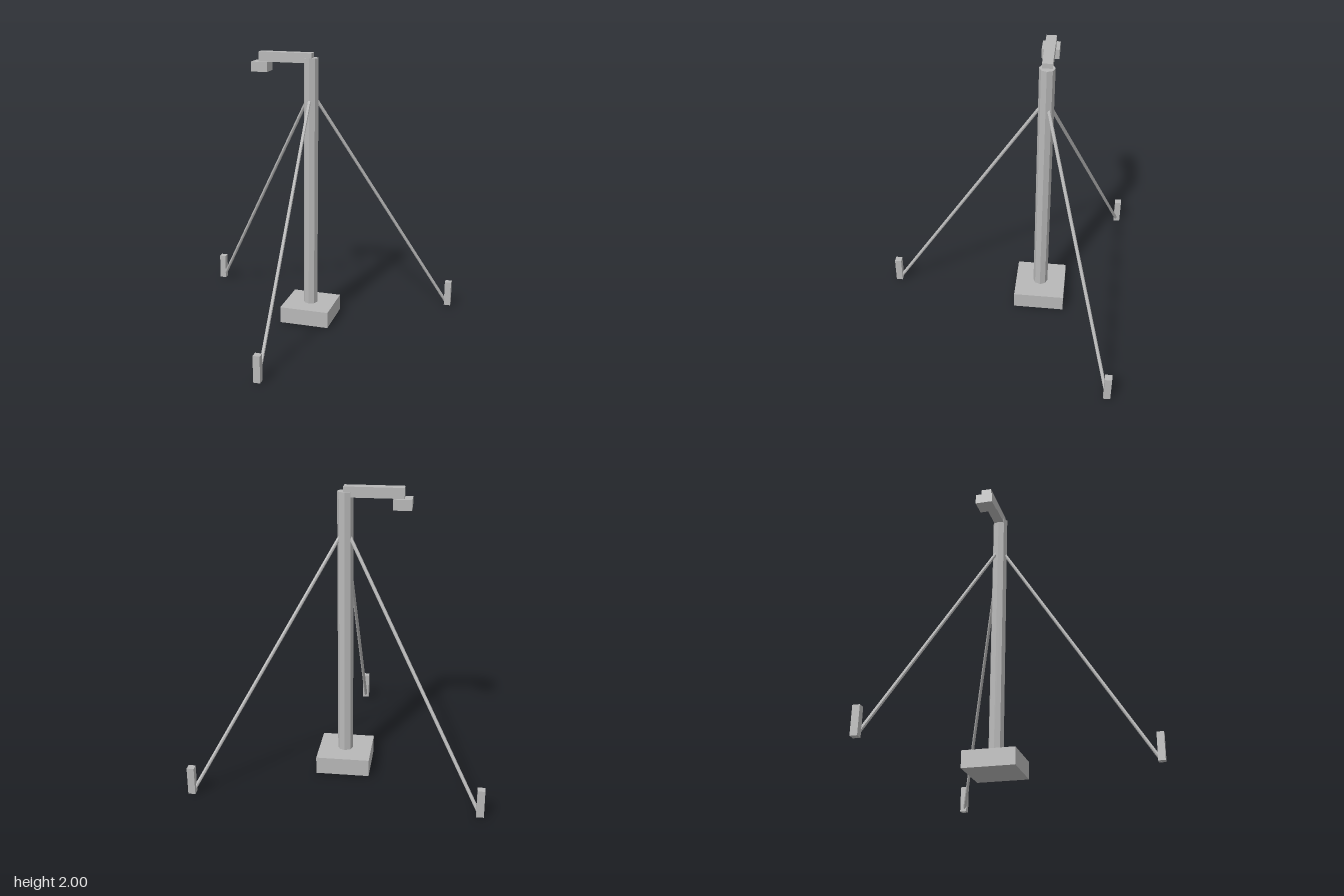
import * as THREE from 'three';

export function createModel() {
  const model = new THREE.Group();
  const grey = new THREE.MeshStandardMaterial({ color: 0xb8b8b8, flatShading: true });
  grey.name = 'grey';
  const PX = -0.015, PZ = -0.265; // mast axis

  const add = (name, geometry, x, y, z) => {
    const mesh = new THREE.Mesh(geometry, grey);
    mesh.name = name;
    mesh.position.set(x, y, z);
    model.add(mesh);
    return mesh;
  };

  // Foundation block, eight-sided mast, overhanging arm and its head
  add('base', new THREE.BoxGeometry(0.365, 0.12, 0.365), PX, 0.07, PZ);
  add('mast', new THREE.CylinderGeometry(0.053, 0.053, 1.835, 8), PX, 1.0475, PZ);
  add('arm', new THREE.BoxGeometry(0.39, 0.07, 0.07), -0.2, 1.965, PZ);
  add('armHead', new THREE.BoxGeometry(0.12, 0.07, 0.12), -0.385, 1.895, PZ);

  // Three ground anchors, each with a guy rod running up into the mast
  const top = new THREE.Vector3(PX, 1.73, PZ);
  const up = new THREE.Vector3(0, 1, 0);
  for (const [x, z] of [[-0.955, -0.84], [0.95, -0.795], [-0.045, 0.835]]) {
    add('anchor', new THREE.BoxGeometry(0.048, 0.19, 0.048), x, 0.105, z);
    const foot = new THREE.Vector3(x, 0.01, z);
    const span = top.clone().sub(foot);
    const mid = foot.clone().add(top).multiplyScalar(0.5);
    const rod = add('guyRod', new THREE.CylinderGeometry(0.012, 0.012, span.length(), 8), mid.x, mid.y, mid.z);
    rod.quaternion.setFromUnitVectors(up, span.normalize());
  }
  return model;
}
